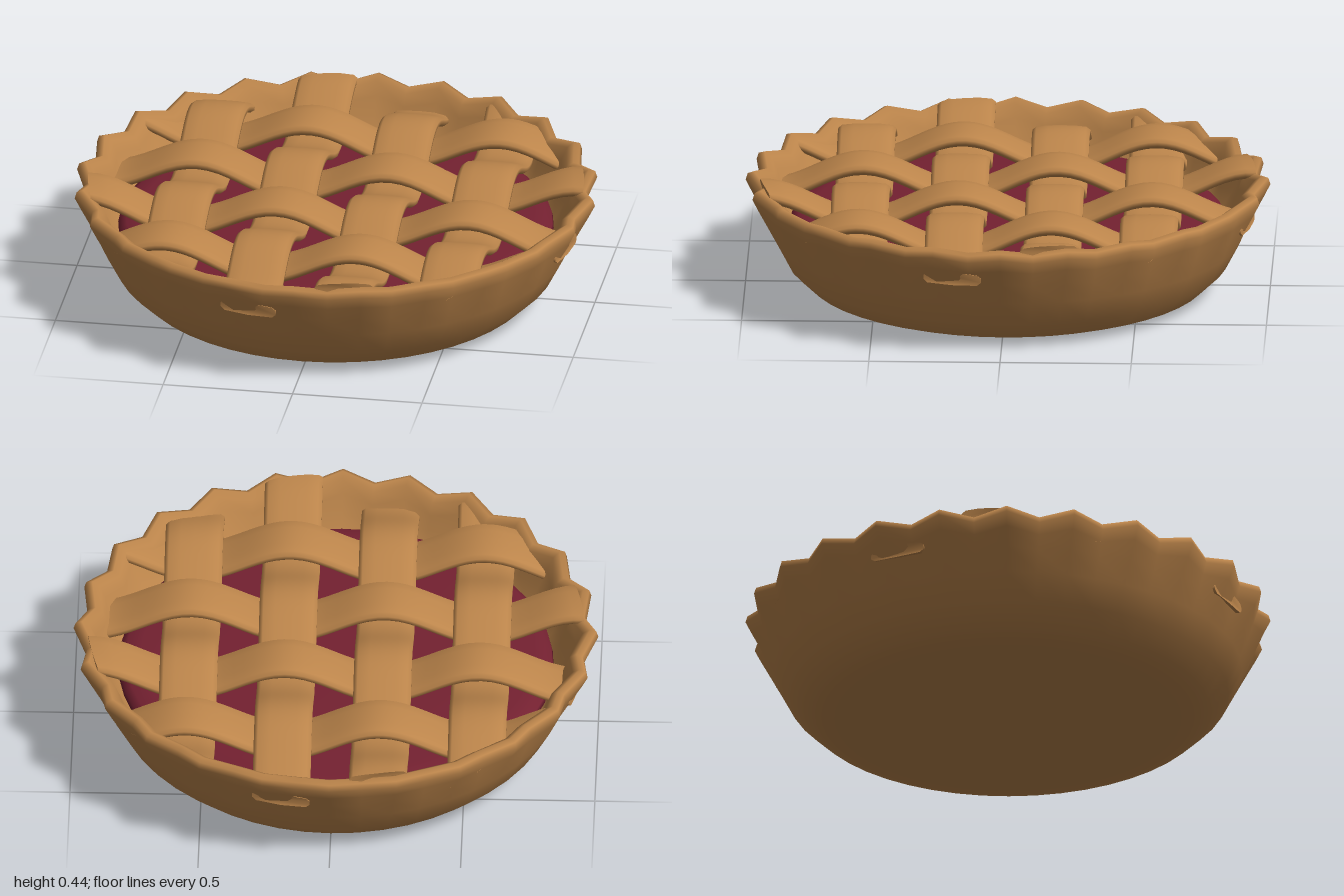
import * as THREE from 'three';
import { mergeVertices } from 'three/addons/utils/BufferGeometryUtils.js';

const pastry = new THREE.MeshStandardMaterial({ color: 0xbc854b });
pastry.name = 'baked pastry';
const berry = new THREE.MeshStandardMaterial({ color: 0x742131 });
berry.name = 'berry filling';

const v2 = (list) => list.map(([x, y]) => new THREE.Vector2(x, y));

// weld the lathe seam and smooth the normals
function smooth(geometry) {
  geometry.deleteAttribute('uv');
  geometry.deleteAttribute('normal');
  const welded = mergeVertices(geometry, 1e-4);
  welded.computeVertexNormals();
  return welded;
}

// pastry shell: outer wall, rim and inner wall, with 24 crimps growing towards the rim
function crustGeometry() {
  const profile = v2([
    [0, 0], [0.4, 0], [0.66, 0], [0.7, 0.005], [0.765, 0.028], [0.84, 0.1], [0.892, 0.2],
    [0.94, 0.29], [0.975, 0.355], [1, 0.405], [0.992, 0.43], [0.968, 0.438], [0.94, 0.42],
    [0.915, 0.37], [0.875, 0.3], [0.83, 0.23], [0.8, 0.2], [0, 0.2],
  ]);
  const geometry = new THREE.LatheGeometry(profile, 48);
  const p = geometry.attributes.position;
  for (let i = 0; i < p.count; i++) {
    const x = p.getX(i), y = p.getY(i), z = p.getZ(i);
    const valley = (1 - Math.cos(24 * Math.atan2(x, z))) / 2;
    const grow = THREE.MathUtils.smoothstep(y, 0.2, 0.42) * valley;
    const k = 1 - 0.042 * grow;
    p.setXYZ(i, x * k, y - 0.026 * grow, z * k);
  }
  return smooth(geometry);
}

// lattice strip along z: waves over and under, its ends trimmed to a circle
const SPACING = 0.37, TRIM = 0.945, STEPS = 48;
const SECTION = [
  [0.11, -0.008], [0.11, 0.008], [0.095, 0.02], [0.05, 0.025], [0, 0.026], [-0.05, 0.025],
  [-0.095, 0.02], [-0.11, 0.008], [-0.11, -0.008], [-0.095, -0.02], [0, -0.022], [0.095, -0.02],
];
function stripGeometry(centre, sign) {
  const n = SECTION.length, positions = [], index = [];
  const addRing = (s) => {
    for (const [dx, dy] of SECTION) {
      const x = centre + dx;
      const z = s * Math.sqrt(TRIM * TRIM - x * x);
      const wave = Math.cos((Math.PI * (z + 1.5 * SPACING)) / SPACING);
      positions.push(x, 0.362 + 0.056 * sign * wave + dy, z);
    }
  };
  for (let i = 0; i <= STEPS; i++) addRing((2 * i) / STEPS - 1);
  for (let i = 0; i < STEPS; i++) {
    for (let k = 0; k < n; k++) {
      const a = i * n + k, b = i * n + ((k + 1) % n);
      index.push(a, b, b + n, a, b + n, a + n);
    }
  }
  // end caps on their own rings, so the ends stay crisp
  const start = (STEPS + 1) * n, end = start + n;
  addRing(-1);
  addRing(1);
  for (let k = 1; k < n - 1; k++) {
    index.push(start, start + k + 1, start + k, end, end + k, end + k + 1);
  }
  const geometry = new THREE.BufferGeometry();
  geometry.setAttribute('position', new THREE.Float32BufferAttribute(positions, 3));
  geometry.setIndex(index);
  geometry.computeVertexNormals();
  return geometry;
}

function add(parent, name, geometry, material) {
  const mesh = new THREE.Mesh(geometry, material);
  mesh.name = name;
  parent.add(mesh);
  return mesh;
}

export function createModel() {
  const pie = new THREE.Group();
  pie.name = 'latticePie';

  add(pie, 'crust', crustGeometry(), pastry);

  // low dome of filling with a rounded edge
  const dome = v2([
    [0.8, 0.215], [0.83, 0.25], [0.825, 0.27], [0.8, 0.288], [0.74, 0.3], [0.5, 0.307], [0, 0.312],
  ]);
  add(pie, 'filling', smooth(new THREE.LatheGeometry(dome, 48)), berry);

  // four strips each way; the quarter turn makes the second set weave through the first
  for (const [name, turn] of [['lengthwiseStrips', 0], ['crosswiseStrips', Math.PI / 2]]) {
    const strips = new THREE.Group();
    strips.name = name;
    strips.rotation.y = turn;
    for (let i = 0; i < 4; i++) {
      add(strips, 'latticeStrip', stripGeometry((i - 1.5) * SPACING, i % 2 ? -1 : 1), pastry);
    }
    pie.add(strips);
  }
  return pie;
}
